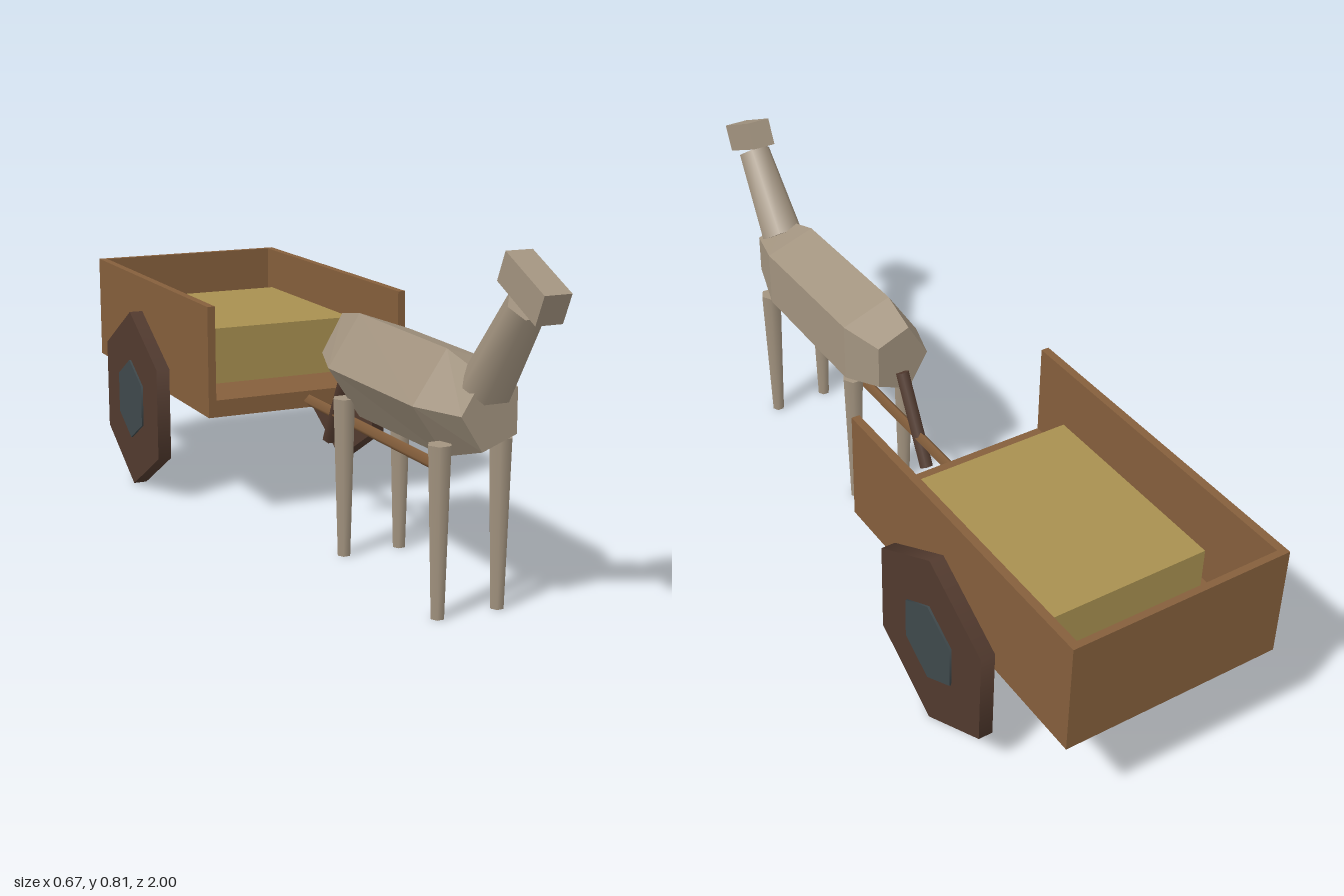
import * as THREE from 'three';

const mat = (name, color, flatShading = false) => {
  const m = new THREE.MeshStandardMaterial({ color, flatShading });
  m.name = name;
  return m;
};

export function createModel() {
  const model = new THREE.Group();
  model.name = 'animalCart';
  const hide = mat('hide', 0xa39480);
  const wood = mat('wood', 0x855f3c);
  const darkWood = mat('darkWood', 0x523a2e);
  const straw = mat('straw', 0xa89050);
  const iron = mat('iron', 0x3f494c);

  const add = (parent, name, geo, material, x = 0, y = 0, z = 0) => {
    const mesh = new THREE.Mesh(geo, material);
    mesh.name = name;
    mesh.position.set(x, y, z);
    parent.add(mesh);
    return mesh;
  };
  const box = (w, h, d) => new THREE.BoxGeometry(w, h, d);
  // six-sided rod with corners on the x axis
  const hex = (rTop, rBottom, h) =>
    new THREE.CylinderGeometry(rTop, rBottom, h, 6, 1, false, Math.PI / 6);
  // rod between two points in the x = 0 plane, given as [y, z]
  const rod = (parent, name, material, [y0, z0], [y1, z1], r0, r1) => {
    const geo = hex(r1, r0, Math.hypot(y1 - y0, z1 - z0));
    const mesh = add(parent, name, geo, material, 0, (y0 + y1) / 2, (z0 + z1) / 2);
    mesh.rotation.x = Math.atan2(z1 - z0, y1 - y0);
  };

  const animal = new THREE.Group();
  animal.name = 'animal';
  const cart = new THREE.Group();
  cart.name = 'cart';
  model.add(animal, cart);

  // Five-sided body, narrowed at both ends
  const rings = [ // z, half width, half height, centre y
    [0.113, 0.077, 0.096, 0.47],
    [0.23, 0.116, 0.129, 0.459],
    [0.64, 0.116, 0.123, 0.459],
    [0.77, 0.073, 0.084, 0.461],
  ];
  const body = new THREE.CylinderGeometry(1, 1, 1, 5, 3);
  body.rotateX(Math.PI / 2).rotateZ(-Math.PI / 2);
  const p = body.attributes.position;
  for (let i = 0; i < p.count; i++) {
    const [z, rx, ry, cy] = rings[Math.round((p.getZ(i) + 0.5) * 3)];
    p.setXYZ(i, p.getX(i) * rx, cy + p.getY(i) * ry, z);
  }
  const bodyGeo = body.toNonIndexed();
  bodyGeo.computeVertexNormals();
  add(animal, 'body', bodyGeo, hide);

  // Neck, head and tail
  rod(animal, 'neck', hide, [0.515, 0.745], [0.705, 0.89], 0.058, 0.044);
  add(animal, 'head', box(0.062, 0.07, 0.158), hide, 0, 0.744, 0.913).rotation.x = 0.436;
  rod(animal, 'tail', darkWood, [0.22, -0.011], [0.44, 0.105], 0.018, 0.018);

  // Tapered legs
  for (const z of [0.68, 0.223]) {
    for (const x of [-0.0715, 0.0755]) {
      add(animal, 'leg', hex(0.028, 0.0165, 0.383), hide, x, 0.1915, z);
    }
  }

  // Cart bed, open at the front
  add(cart, 'cartFloor', box(0.546, 0.043, 0.87), wood, 0, 0.2965, -0.565);
  for (const s of [-1, 1]) {
    add(cart, 'sideWall', box(0.02, 0.237, 0.87), wood, s * 0.263, 0.4365, -0.565);
  }
  add(cart, 'backWall', box(0.506, 0.237, 0.017), wood, 0, 0.4365, -0.9915);
  add(cart, 'strawBale', box(0.4, 0.145, 0.525), straw, 0, 0.3905, -0.5675);

  // Pulling pole
  const pole = new THREE.CylinderGeometry(0.015, 0.015, 0.66, 4);
  add(cart, 'pole', pole.rotateX(Math.PI / 2), wood, 0, 0.293, 0.2);

  // Wheels and hubs
  for (const s of [-1, 1]) {
    add(cart, 'wheel', hex(0.2375, 0.2375, 0.035).rotateZ(Math.PI / 2), darkWood, s * 0.3115, 0.2375, -0.562);
    add(cart, 'hub', hex(0.107, 0.107, 0.049).rotateZ(Math.PI / 2), iron, s * 0.3095, 0.2375, -0.562);
  }
  return model;
}
